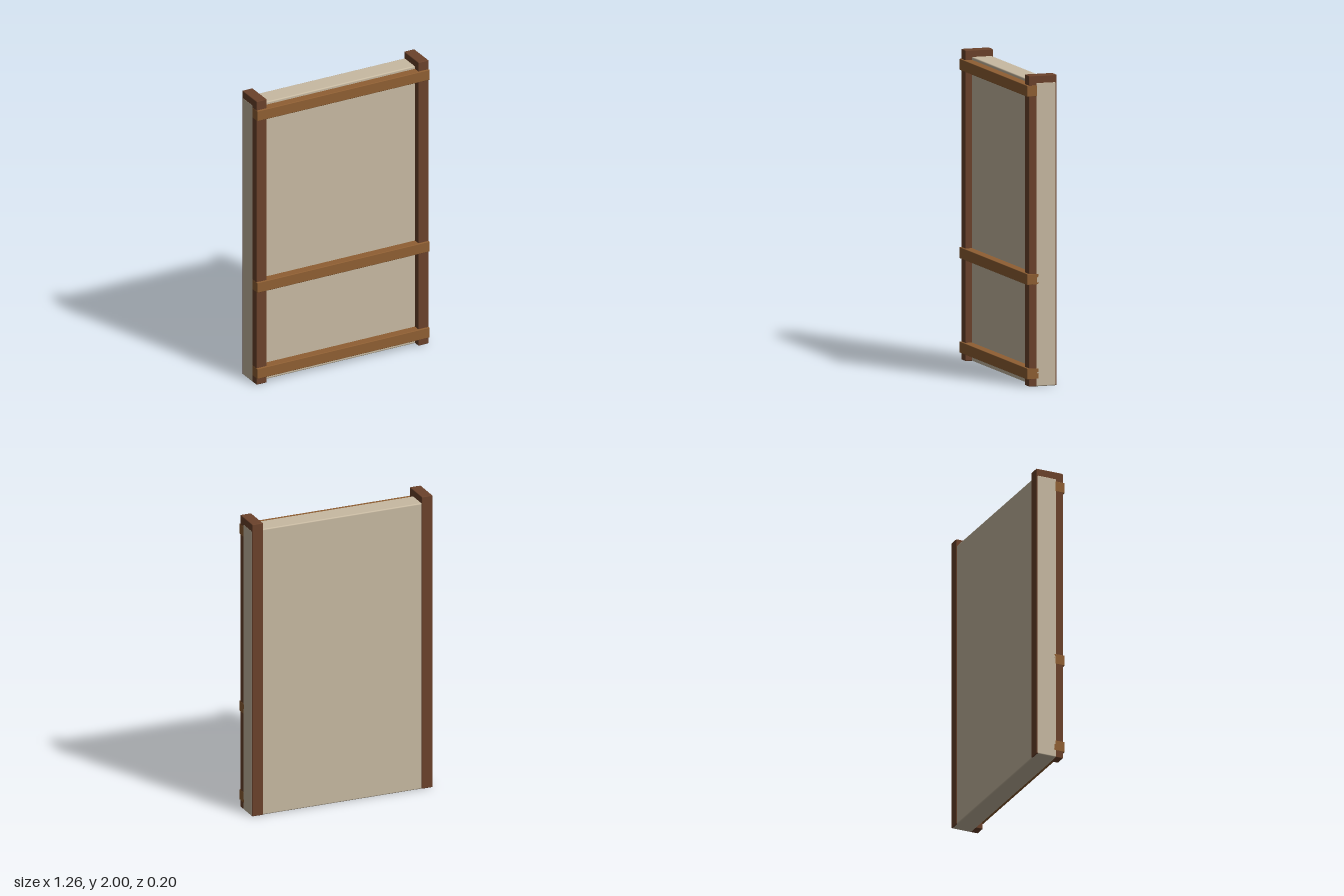
import * as THREE from 'three';
import { RoundedBoxGeometry } from 'three/addons/geometries/RoundedBoxGeometry.js';

const material = (name, color) => {
  const m = new THREE.MeshStandardMaterial({ color });
  m.name = name;
  return m;
};

// Soft-edged box given by its [min, max] extents on each axis
function block(name, mat, [x0, x1], [y0, y1], [z0, z1], bevel) {
  const geometry = new RoundedBoxGeometry(x1 - x0, y1 - y0, z1 - z0, 2, bevel);
  const mesh = new THREE.Mesh(geometry, mat);
  mesh.name = name;
  mesh.position.set((x0 + x1) / 2, (y0 + y1) / 2, (z0 + z1) / 2);
  return mesh;
}

export function createModel() {
  const plaster = material('plaster', 0xc8baa2);
  const darkWood = material('darkWood', 0x6b422b);
  const lightWood = material('lightWood', 0x8f5f33);

  const group = new THREE.Group();
  group.name = 'timberWallPanel';

  // Infill slab, a hair proud of the posts at the sides and bottom
  group.add(block('infillSlab', plaster, [-0.628, 0.628], [0, 1.955], [-0.096, 0.042], 0.008));

  // Upright posts at both ends
  group.add(block('leftPost', darkWood, [0.552, 0.627], [0.001, 2], [-0.1, 0.088], 0.005));
  group.add(block('rightPost', darkWood, [-0.627, -0.552], [0.001, 2], [-0.1, 0.088], 0.005));

  // Horizontal rails across the front, seated in the slab
  const rails = { bottomRail: 0.083, middleRail: 0.69, topRail: 1.901 };
  for (const [name, y] of Object.entries(rails)) {
    group.add(block(name, lightWood, [-0.628, 0.628], [y - 0.036, y + 0.036], [0.02, 0.1], 0.004));
  }

  return group;
}
